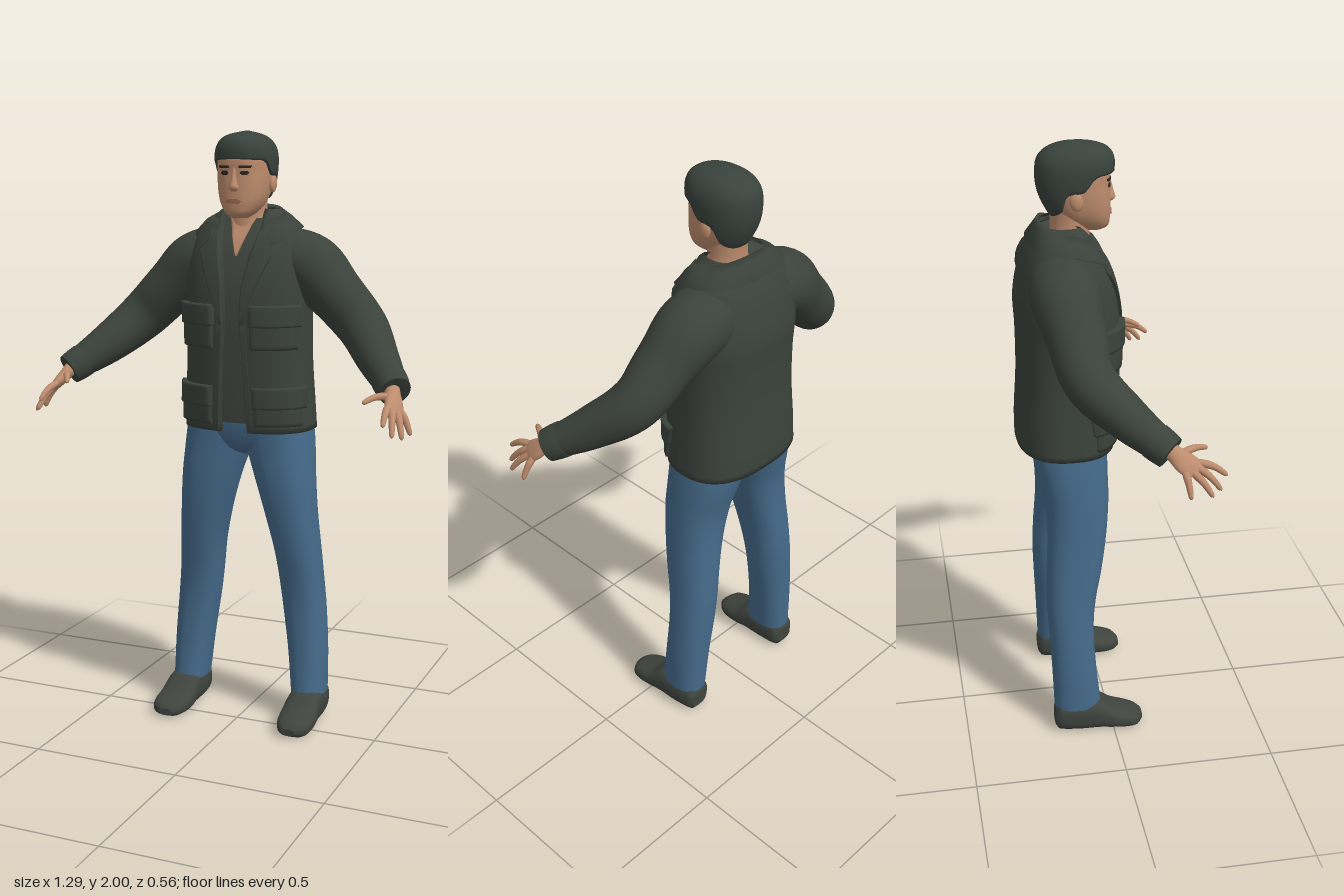
import * as THREE from 'three';

const V = (x, y, z) => new THREE.Vector3(x, y, z);
const mat = (name, color, side = THREE.FrontSide) => {
  const m = new THREE.MeshStandardMaterial({ color, side });
  m.name = name;
  return m;
};

// Smooth interpolation of table rows keyed by their first column
function sample(t, k) {
  const n = t.length - 1;
  k = Math.min(Math.max(k, t[0][0]), t[n][0]);
  let i = 0;
  while (i < n - 1 && k > t[i + 1][0]) i++;
  const h = t[i + 1][0] - t[i][0], u = (k - t[i][0]) / h;
  const slope = (j, c) => {
    const a = t[Math.max(j - 1, 0)], b = t[Math.min(j + 1, n)];
    return (b[c] - a[c]) / (b[0] - a[0]);
  };
  return t[i].map((v, c) => {
    const w = t[i + 1][c], u2 = u * u, u3 = u2 * u;
    return v * (2 * u3 - 3 * u2 + 1) + w * (3 * u2 - 2 * u3)
      + h * (slope(i, c) * (u3 - 2 * u2 + u) + slope(i + 1, c) * (u3 - u2));
  });
}

// Body surface from rows [height, x0, x1, back, front] with rounded-box sections
function surface(table, p = 0.85) {
  const pow = (v) => Math.sign(v) * Math.abs(v) ** p;
  const pt = (a, y, off = 0) => {
    const [, x0, x1, zb, zf] = sample(table, y);
    return V((x0 + x1) / 2 + ((x1 - x0) / 2 + off) * pow(Math.sin(a)), y,
      (zb + zf) / 2 + ((zf - zb) / 2 + off) * pow(Math.cos(a)));
  };
  const angle = (x, y) => {
    const [, x0, x1] = sample(table, y), s = (2 * x - x0 - x1) / (x1 - x0);
    return Math.sign(s) * Math.asin(Math.min(1, Math.abs(s)) ** (1 / p));
  };
  return { pt, angle, front: (x, y, off) => pt(angle(x, y), y, off), lo: table[0][0], hi: table[table.length - 1][0] };
}

// Skin over rows of points; closed rows wrap round and get end caps
function skin(rows, closed) {
  const n = rows[0].length, pos = [], idx = [];
  const put = (v) => pos.push(v.x, v.y, v.z) / 3 - 1;
  rows.forEach((r) => r.forEach(put));
  for (let i = 0; i < rows.length - 1; i++) {
    for (let j = 0; j < (closed ? n : n - 1); j++) {
      const a = i * n + j, b = i * n + (j + 1) % n;
      idx.push(a, b, b + n, a, b + n, a + n);
    }
  }
  if (closed) {
    [rows[0], rows[rows.length - 1]].forEach((r, end) => {
      const c = put(r.reduce((s, v) => s.add(v), V(0, 0, 0)).divideScalar(n)), ids = r.map(put);
      ids.forEach((a, j) => {
        const b = ids[(j + 1) % n];
        idx.push(c, end ? a : b, end ? b : a);
      });
    });
    // Turn faces outward whichever way the rows ran
    let vol = 0;
    const at = (i) => V(pos[3 * i], pos[3 * i + 1], pos[3 * i + 2]);
    for (let i = 0; i < idx.length; i += 3) vol += at(idx[i]).dot(at(idx[i + 1]).cross(at(idx[i + 2])));
    if (vol < 0) idx.reverse();
  }
  const g = new THREE.BufferGeometry();
  g.setAttribute('position', new THREE.Float32BufferAttribute(pos, 3));
  g.setIndex(idx);
  g.computeVertexNormals();
  return g;
}

const range = (n, f) => Array.from({ length: n + 1 }, (_, i) => f(i / n));
const ring = (n, f) => Array.from({ length: n }, (_, j) => f(j / n * Math.PI * 2));
const loft = (s, rows = 24, off = 0, lo = s.lo, hi = s.hi) =>
  skin(range(rows, (t) => ring(40, (a) => s.pt(a, lo + (hi - lo) * t, off))), true);

// Raised panel lying on a surface; rows are [height, xLeft, xRight]
function panel(s, rows, off, base = -0.004) {
  const steps = [...range(10, (t) => t)], ts = [0, ...steps, 1];
  const lo = rows[0][0], hi = rows[rows.length - 1][0];
  return skin(ts.map((t, i) => {
    const y = lo + (hi - lo) * t;
    let k = 0;
    while (k < rows.length - 2 && y > rows[k + 1][0]) k++;
    const u = (y - rows[k][0]) / (rows[k + 1][0] - rows[k][0]);
    const [xa, xb] = [1, 2].map((c) => rows[k][c] + (rows[k + 1][c] - rows[k][c]) * u);
    return ts.map((q, j) => {
      const rim = i === 0 || j === 0 || i === ts.length - 1 || j === ts.length - 1;
      return s.front(xa + (xb - xa) * q, y, rim ? base : off);
    });
  }), false);
}

// Round limb through [x, y, z, radius] points
function limb(pts, rows = 24, n = 20) {
  const curve = new THREE.CatmullRomCurve3(pts.map((p) => V(p[0], p[1], p[2])));
  const fr = curve.computeFrenetFrames(rows), radii = pts.map((p, i) => [i / (pts.length - 1), p[3]]);
  return skin(range(rows, (t) => {
    const i = Math.round(t * rows), c = curve.getPoint(t), r = sample(radii, t)[1];
    // frames are spaced by arc length, close enough for these even points
    return ring(n, (a) => c.clone().addScaledVector(fr.normals[i], r * Math.cos(a)).addScaledVector(fr.binormals[i], r * Math.sin(a)));
  }), true);
}

const sym = (t) => t.map(([y, w, zb, zf, ...rest]) => [y, -w, w, zb, zf, ...rest]);

export function createModel() {
  const model = new THREE.Group();
  model.name = 'standingMan';
  const M = {
    jacket: mat('jacketCloth', 0x3b423b, THREE.DoubleSide), shirt: mat('shirtCloth', 0x40453f),
    jeans: mat('denim', 0x456a8a), shoes: mat('shoeLeather', 0x3f443e), hair: mat('hair', 0x39423d),
    skin: mat('skin', 0xbd8c6d), lips: mat('lips', 0x9c6a55), dark: mat('eyesAndBrows', 0x2e2622),
  };
  const add = (name, geo, m) => {
    const mesh = new THREE.Mesh(geo, m);
    mesh.name = name;
    model.add(mesh);
  };
  const pair = (name, geo, m) => {
    add(name + 'Left', geo, m);
    const g = geo.clone().scale(-1, 1, 1);
    g.setIndex([...g.index.array].reverse());
    g.computeVertexNormals();
    add(name + 'Right', g, m);
  };

  // Jeans
  pair('trouserLeg', loft(surface([
    [0.095, 0.165, 0.282, -0.2, -0.04], [0.25, 0.147, 0.28, -0.205, -0.055], [0.4, 0.125, 0.27, -0.212, -0.06],
    [0.5, 0.113, 0.26, -0.215, -0.05], [0.6, 0.1, 0.252, -0.212, -0.03], [0.73, 0.07, 0.242, -0.205, -0.01],
    [0.85, 0.035, 0.235, -0.21, 0], [0.94, 0.005, 0.228, -0.23, 0], [1, -0.01, 0.222, -0.24, 0], [1.08, -0.01, 0.21, -0.24, 0],
  ]), 36), M.jeans);
  add('trouserSeat', loft(surface(sym([
    [0.93, 0.02, -0.15, -0.06], [0.95, 0.07, -0.2, -0.02], [0.99, 0.15, -0.235, 0], [1.05, 0.212, -0.245, 0.01], [1.12, 0.2, -0.24, 0.01],
  ])), 14), M.jeans);

  // Shoes, lofted from heel to toe
  const shoe = surface([
    [-0.2, 0.195, 0.26, 0.02, 0.08], [-0.19, 0.18, 0.272, 0.005, 0.11], [-0.12, 0.17, 0.285, 0, 0.12], [-0.05, 0.168, 0.288, 0, 0.115],
    [0, 0.165, 0.292, 0, 0.08], [0.05, 0.17, 0.292, 0, 0.062], [0.085, 0.185, 0.28, 0.002, 0.05], [0.104, 0.205, 0.25, 0.012, 0.035],
  ], 0.75);
  pair('shoe', skin(range(30, (t) => ring(32, (a) => {
    const v = shoe.pt(a, shoe.lo + (shoe.hi - shoe.lo) * t);
    return V(v.x, Math.max(0, v.z), v.y);
  })), true), M.shoes);

  // Torso rows: height, half width, back, front, half opening
  const torsoRows = sym([
    [1.02, 0.225, -0.285, 0.035, 0.05], [1.1, 0.22, -0.285, 0.043, 0.045], [1.25, 0.212, -0.276, 0.05, 0.038],
    [1.4, 0.21, -0.276, 0.054, 0.028], [1.5, 0.213, -0.28, 0.046, 0.034], [1.58, 0.207, -0.268, 0.028, 0.046],
    [1.65, 0.188, -0.247, 0, 0.063], [1.7, 0.155, -0.222, -0.03, 0.072], [1.735, 0.112, -0.2, -0.045, 0.075], [1.75, 0.095, -0.19, -0.055, 0.078],
  ]);
  const torso = surface(torsoRows, 0.8);
  const opening = (y) => torso.angle(sample(torsoRows, y)[5], y);
  const arc = (y, f) => {
    const a0 = opening(y);
    return range(56, (t) => f(a0 + (2 * Math.PI - 2 * a0) * t));
  };
  const jacketRow = (y, off) => {
    const edge = (a) => torso.pt(a, y, off - 0.02);
    return [edge(opening(y)), ...arc(y, (a) => torso.pt(a, y, off)), edge(-opening(y))];
  };
  add('jacketBody', skin([jacketRow(1.02, -0.02), ...range(36, (t) => jacketRow(1.02 + 0.73 * t, 0))], false), M.jacket);
  add('shirt', loft(torso, 24, -0.014, 1.05, 1.72), M.shirt);
  add('openNeckline', panel(torso, [[1.6, -0.002, 0.002], [1.66, -0.024, 0.024], [1.72, -0.045, 0.045]], -0.008, -0.02), M.skin);

  // Folded collar, higher at the nape
  add('collar', skin([
    [1.735, -0.012, 0.045, 1], [1.763, 0.004, 0.05, 1], [1.745, 0.014, 0.05, 1], [1.695, 0.013, 0.065, 3], [1.69, -0.004, 0.065, 3],
  ].map(([y, off, drop, k]) => arc(1.72, (a) => {
    const h = y - drop * ((1 + Math.cos(a)) / 2) ** k, s = Math.min(h, 1.745);
    return torso.pt(a, k === 1 ? Math.max(s, 1.715) : s, off).setY(h);
  })), false), M.jacket);

  // Lapels, pockets and flaps follow the jacket surface
  pair('lapel', panel(torso, [[1.38, 0.03, 0.036], [1.5, 0.034, 0.08], [1.6, 0.05, 0.12], [1.622, 0.056, 0.13], [1.635, 0.06, 0.1], [1.68, 0.068, 0.1]], 0.01), M.jacket);
  pair('frontPlacket', panel(torso, [[1.024, 0.051, 0.07], [1.2, 0.042, 0.06], [1.38, 0.03, 0.05]], 0.004), M.jacket);
  [['chest', 1.3, 1.43, 0.065, 0.195], ['hip', 1.045, 1.16, 0.075, 0.208]].forEach(([n, y0, y1, x0, x1]) => {
    pair(n + 'Pocket', panel(torso, [[y0, x0, x1], [y1, x0, x1]], 0.01), M.jacket);
    pair(n + 'PocketFlap', panel(torso, [[y1 - 0.055, x0 - 0.004, x1 + 0.004], [y1 + 0.015, x0 - 0.004, x1 + 0.004]], 0.017), M.jacket);
  });

  // Sleeves and cuffs
  pair('sleeve', limb([
    [0.11, 1.585, -0.14, 0.108], [0.2, 1.562, -0.14, 0.11], [0.3, 1.475, -0.125, 0.093],
    [0.4, 1.375, -0.1, 0.083], [0.485, 1.287, -0.005, 0.068], [0.57, 1.212, 0.1, 0.048],
  ], 36, 28), M.jacket);
  pair('cuff', limb([[0.543, 1.236, 0.066, 0.057], [0.558, 1.222, 0.086, 0.056], [0.575, 1.207, 0.107, 0.052]], 4, 28), M.jacket);

  // Hands: flattened palm, four fingers and a thumb
  const across = V(0.032, -0.02, -0.057).normalize();
  const thin = V(0.035, -0.062, 0.073).cross(across).normalize();
  const palm = [[0, 0.026, 0.024], [0.3, 0.03, 0.021], [0.65, 0.038, 0.018], [0.9, 0.037, 0.014], [1.08, 0.03, 0.008]];
  pair('palm', skin(range(12, (t) => {
    const [k, w, h] = sample(palm, t * 1.08), c = V(0.565, 1.215, 0.105).lerp(V(0.598, 1.153, 0.178), k);
    return ring(20, (a) => c.clone().addScaledVector(across, w * Math.cos(a)).addScaledVector(thin, h * Math.sin(a)));
  }), true), M.skin);
  [
    ['indexFinger', [0.58, 1.168, 0.202], [0.59, 1.126, 0.278]], ['middleFinger', [0.593, 1.158, 0.19], [0.613, 1.09, 0.256]],
    ['ringFinger', [0.605, 1.149, 0.172], [0.636, 1.081, 0.226]], ['littleFinger', [0.61, 1.148, 0.148], [0.643, 1.083, 0.158]],
    ['thumb', [0.56, 1.197, 0.15], [0.512, 1.185, 0.234]],
  ].forEach(([name, a, b]) => {
    const at = (t, r) => [...a.map((v, i) => v + (b[i] - v) * t + (i === 1 ? 0.008 * Math.sin(t * Math.PI) : 0)), r];
    pair(name, limb([at(-0.15, 0.011), at(0.2, 0.012), at(0.5, 0.0105), at(0.78, 0.009), at(0.94, 0.007), at(1, 0.002)], 14, 10), M.skin);
  });

  // Neck and head
  add('neck', loft(surface(sym([[1.6, 0.09, -0.18, -0.05], [1.68, 0.075, -0.17, -0.035], [1.73, 0.062, -0.16, -0.038], [1.82, 0.064, -0.165, -0.03]]), 1), 12), M.skin);
  const head = surface(sym([
    [1.722, 0.024, -0.06, 0.005], [1.733, 0.042, -0.085, 0.022], [1.76, 0.064, -0.125, 0.028], [1.79, 0.077, -0.15, 0.029],
    [1.83, 0.085, -0.172, 0.028], [1.87, 0.088, -0.185, 0.026], [1.91, 0.088, -0.19, 0.026], [1.95, 0.078, -0.175, 0.012], [1.975, 0.05, -0.14, -0.02],
  ]));
  add('head', loft(head, 36), M.skin);
  add('nose', loft(surface(sym([
    [1.808, 0.012, 0, 0.034], [1.818, 0.018, 0, 0.046], [1.835, 0.013, 0, 0.042], [1.865, 0.008, 0, 0.034], [1.885, 0.01, 0, 0.026],
  ]), 1), 12), M.skin);
  pair('ear', new THREE.SphereGeometry(1, 16, 12).scale(0.012, 0.03, 0.021).rotateX(-0.2).translate(0.089, 1.832, -0.09), M.skin);
  pair('eye', panel(head, [[1.86, 0.026, 0.042], [1.866, 0.019, 0.049], [1.873, 0.025, 0.043]], 0.002), M.dark);
  pair('eyebrow', panel(head, [[1.882, 0.016, 0.052], [1.89, 0.018, 0.056]], 0.004), M.dark);
  add('mouth', panel(head, [[1.769, -0.014, 0.014], [1.777, -0.028, 0.028], [1.785, -0.012, 0.012]], 0.004), M.lips);

  // Short hair, its lower edge set by the angle around the head
  const hair = surface(sym([
    [1.76, 0.068, -0.155, 0.02], [1.8, 0.084, -0.178, 0.025], [1.84, 0.093, -0.196, 0.032], [1.88, 0.097, -0.204, 0.037], [1.92, 0.098, -0.204, 0.042],
    [1.95, 0.091, -0.197, 0.04], [1.975, 0.074, -0.174, 0.024], [1.99, 0.048, -0.14, -0.012], [2, 0.008, -0.095, -0.075],
  ]), 0.9);
  const line = [[0, 1.91], [40, 1.907], [68, 1.9], [82, 1.862], [105, 1.85], [122, 1.8], [150, 1.778], [180, 1.775]];
  const hairRow = (t, off) => ring(56, (a) => {
    const deg = a * 180 / Math.PI, y = sample(line, deg > 180 ? 360 - deg : deg)[1];
    return hair.pt(a, y + (2 - y) * Math.sin(t * Math.PI / 2), off);
  });
  add('hair', skin([hairRow(0, -0.025), ...range(20, (t) => hairRow(t, 0))], true), M.hair);
  return model;
}
